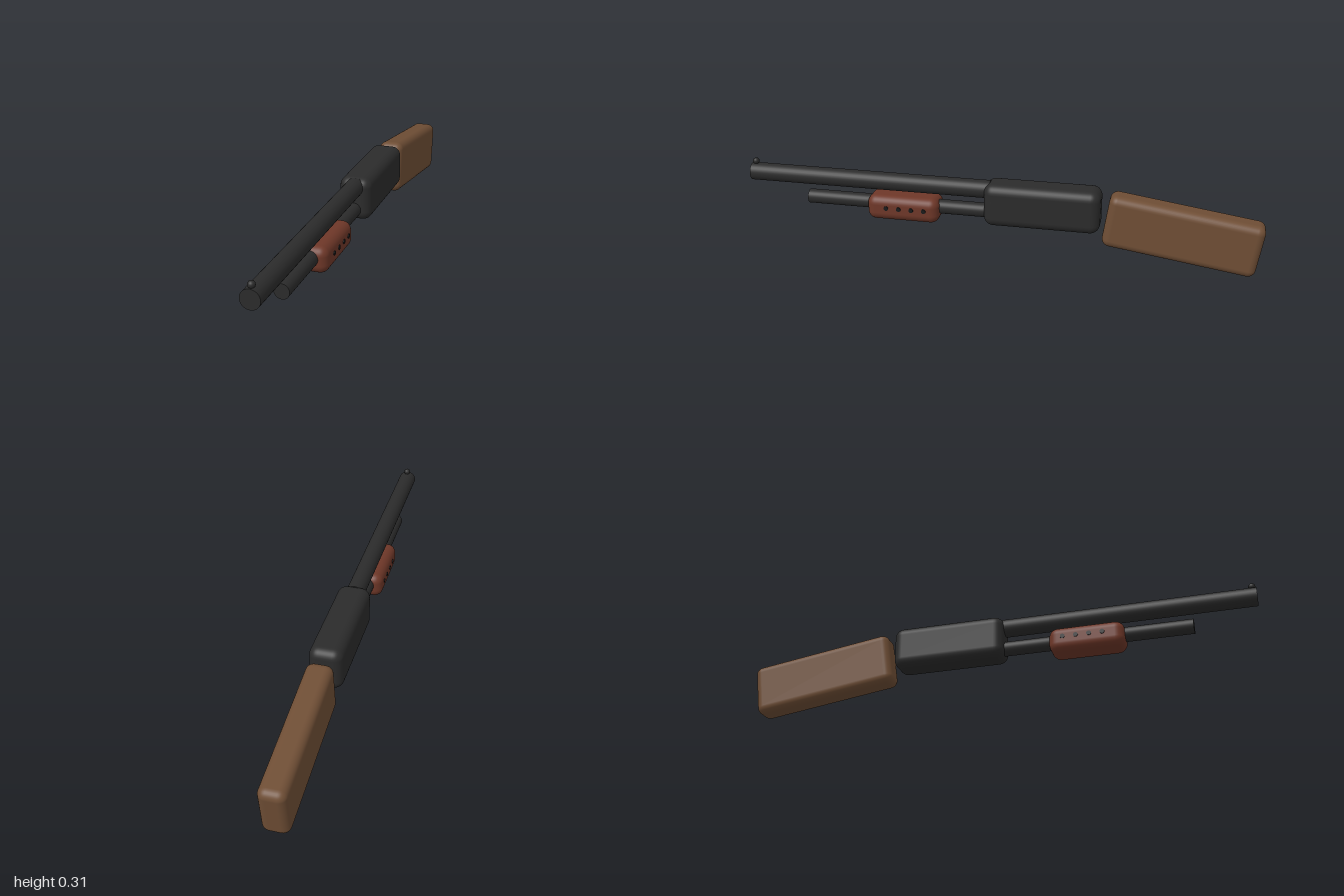
import * as THREE from 'three';
import { RoundedBoxGeometry } from 'three/addons/geometries/RoundedBoxGeometry.js';

export function createModel() {
  const model = new THREE.Group();
  const material = (name, color) => {
    const m = new THREE.MeshStandardMaterial({ color });
    m.name = name;
    return m;
  };
  const metal = material('dark metal', 0x2b2b2b);
  const wood = material('brown wood', 0x6f4e35);
  const redWood = material('reddish wood', 0x6e3728);
  const black = material('black', 0x1a1a1a);

  const add = (name, geometry, mat, x, y, z) => {
    const mesh = new THREE.Mesh(geometry, mat);
    mesh.name = name;
    mesh.position.set(x, y, z);
    model.add(mesh);
    return mesh;
  };
  // Round bar running along z between two ends
  const bar = (name, radius, y, z0, z1) =>
    add(name, new THREE.CylinderGeometry(radius, radius, z1 - z0, 32).rotateX(Math.PI / 2),
      metal, 0, y, (z0 + z1) / 2);

  // Barrel, lower tube and front sight
  bar('barrel', 0.035, 0.259, 0.03, 1);
  bar('lowerTube', 0.028, 0.171, 0.03, 0.765);
  add('frontSight', new THREE.SphereGeometry(0.013, 20, 14), metal, 0, 0.302, 0.984);

  // Central body
  add('receiver', new RoundedBoxGeometry(0.126, 0.168, 0.444, 4, 0.036), metal, 0, 0.21, -0.173);

  // Sliding grip with a row of studs on each side
  add('slideGrip', new RoundedBoxGeometry(0.118, 0.1, 0.286, 4, 0.034), redWood, 0, 0.163, 0.37);
  for (const side of [-1, 1]) {
    for (let i = 0; i < 4; i++) {
      add('gripStud', new THREE.CylinderGeometry(0.009, 0.009, 0.008, 16).rotateZ(Math.PI / 2),
        black, side * 0.0575, 0.168, 0.283 + i * 0.05);
    }
  }

  // Shoulder stock, sloping down to the rear
  const stock = add('stock', new RoundedBoxGeometry(0.1, 0.208, 0.58, 4, 0.03), wood, 0, 0.1415, -0.7025);
  stock.rotation.x = -0.143;

  return model;
}
